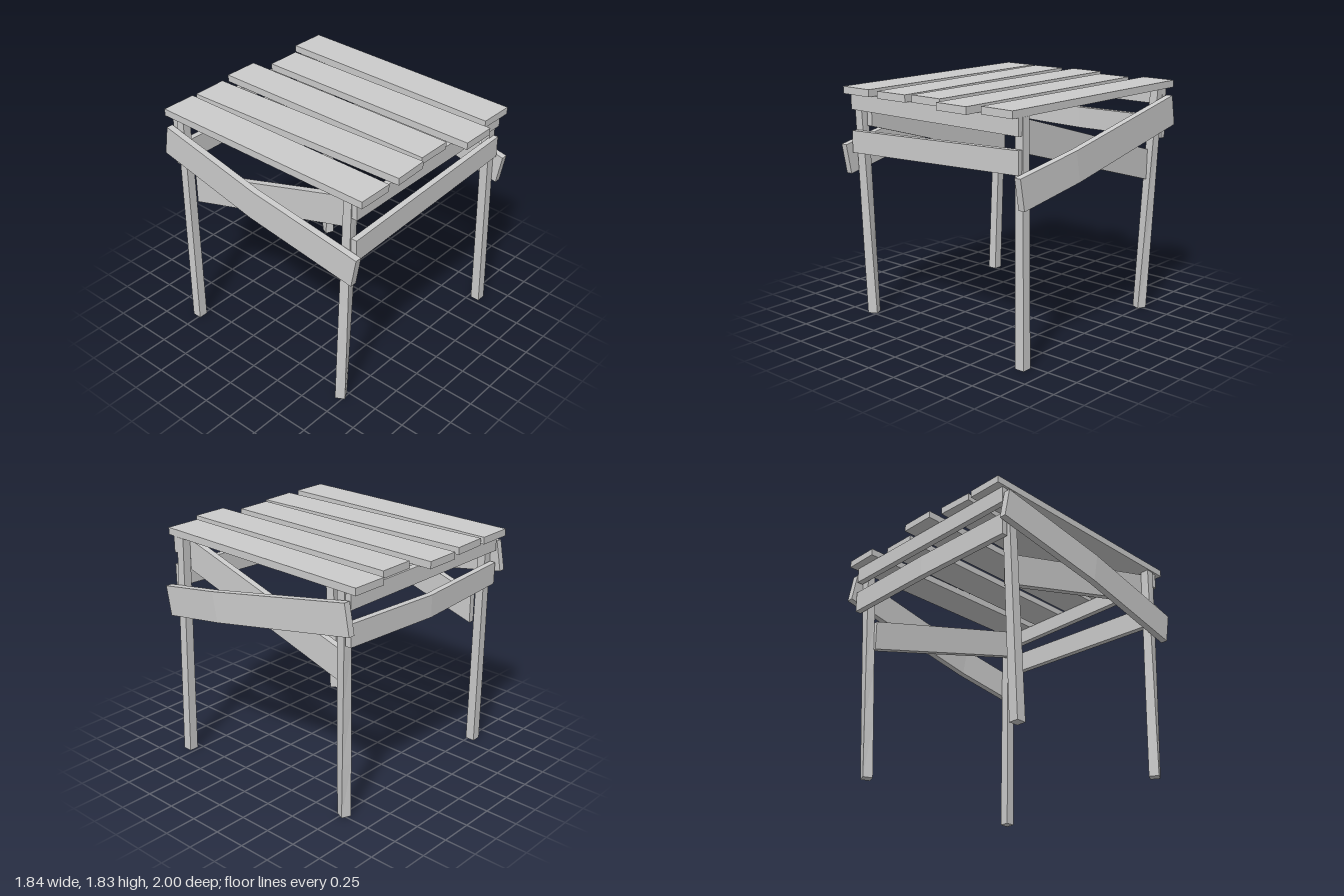
import * as THREE from 'three';

const material = new THREE.MeshStandardMaterial({ color: 0xcccccc, flatShading: true });

// Box whose vertices are moved by a rule.
function board(name, size, position, rule, segments = [1, 1, 1]) {
  const geometry = new THREE.BoxGeometry(...size, ...segments);
  if (rule) {
    const p = geometry.attributes.position;
    const v = new THREE.Vector3();
    for (let i = 0; i < p.count; i++) {
      v.fromBufferAttribute(p, i);
      rule(v);
      p.setXYZ(i, v.x, v.y, v.z);
    }
    geometry.computeVertexNormals();
  }
  const mesh = new THREE.Mesh(geometry, material);
  mesh.name = name;
  mesh.position.set(...position);
  return mesh;
}

export function createModel() {
  const group = new THREE.Group();
  group.name = 'slattedTable';

  // Top planks: centre x, centre z, yaw
  const planks = [
    [-0.7, -0.02, 0], [-0.357, -0.02, 0.034], [-0.015, -0.06, 0],
    [0.345, 0.06, 0], [0.698, -0.02, -0.015],
  ];
  planks.forEach(([x, z, yaw], i) => {
    const plank = board(`topPlank${i + 1}`, [0.278, 0.055, 1.88], [x, 1.802, z]);
    plank.rotation.y = yaw;
    group.add(plank);
  });

  // Legs: bottom centre, twist of the foot, top centre
  const legHeight = 1.775;
  const legs = [
    ['frontLeftLeg', 0.825, 0.812, 0, 0.795, 0.79],
    ['frontRightLeg', -0.805, 0.717, 0.5, -0.795, 0.79],
    ['backLeftLeg', 0.732, -0.762, -0.42, 0.795, -0.81],
    ['backRightLeg', -0.838, -0.772, 0, -0.795, -0.81],
  ];
  for (const [name, bx, bz, twist, tx, tz] of legs) {
    group.add(board(name, [0.075, legHeight, 0.075], [0, legHeight / 2, 0], (v) => {
      const t = v.y / legHeight + 0.5;
      v.applyAxisAngle(THREE.Object3D.DEFAULT_UP, twist * (1 - t));
      v.x = v.x * (1 - 0.1 * t) + bx + (tx - bx) * t;
      v.z = v.z * (1 - 0.1 * t) + bz + (tz - bz) * t;
    }, [1, 4, 1]));
  }

  // Aprons right under the planks
  group.add(board('frontApron', [1.645, 0.125, 0.047], [0.002, 1.7125, 0.841]));
  group.add(board('backApron', [1.645, 0.125, 0.047], [0.002, 1.7125, -0.873]));

  // Lower rails: the front one slopes, the back one is bent in the middle
  group.add(board('frontRail', [1.645, 0.17, 0.047], [0.002, 1.438, 0.841],
    (v) => { v.y += v.x * 0.042; }));
  group.add(board('backRail', [1.645, 0.17, 0.047], [0.002, 1.47, -0.873], (v) => {
    if (Math.abs(v.x) < 0.1) { v.y -= 0.02; v.z -= 0.034; }
  }, [2, 1, 1]));

  // Crossed side braces: bowed outer board and sheared inner board
  for (const [side, label, bend] of [[1, 'left', 0.35], [-1, 'right', 0]]) {
    const outer = board(`${label}OuterBrace`, [0.052, 0.235, 1.84], [side * 0.861, 1.437, -0.01], (v) => {
      if (Math.abs(v.z) < 0.1) { v.z = bend; v.x += side * 0.032; }
    }, [1, 1, 2]);
    outer.rotation.x = 0.184;
    group.add(outer);
    group.add(board(`${label}InnerBrace`, [0.05, 0.24, 1.53], [side * 0.735, 1.41, -0.003],
      (v) => { v.y += v.z * 0.3; }));
  }
  return group;
}
